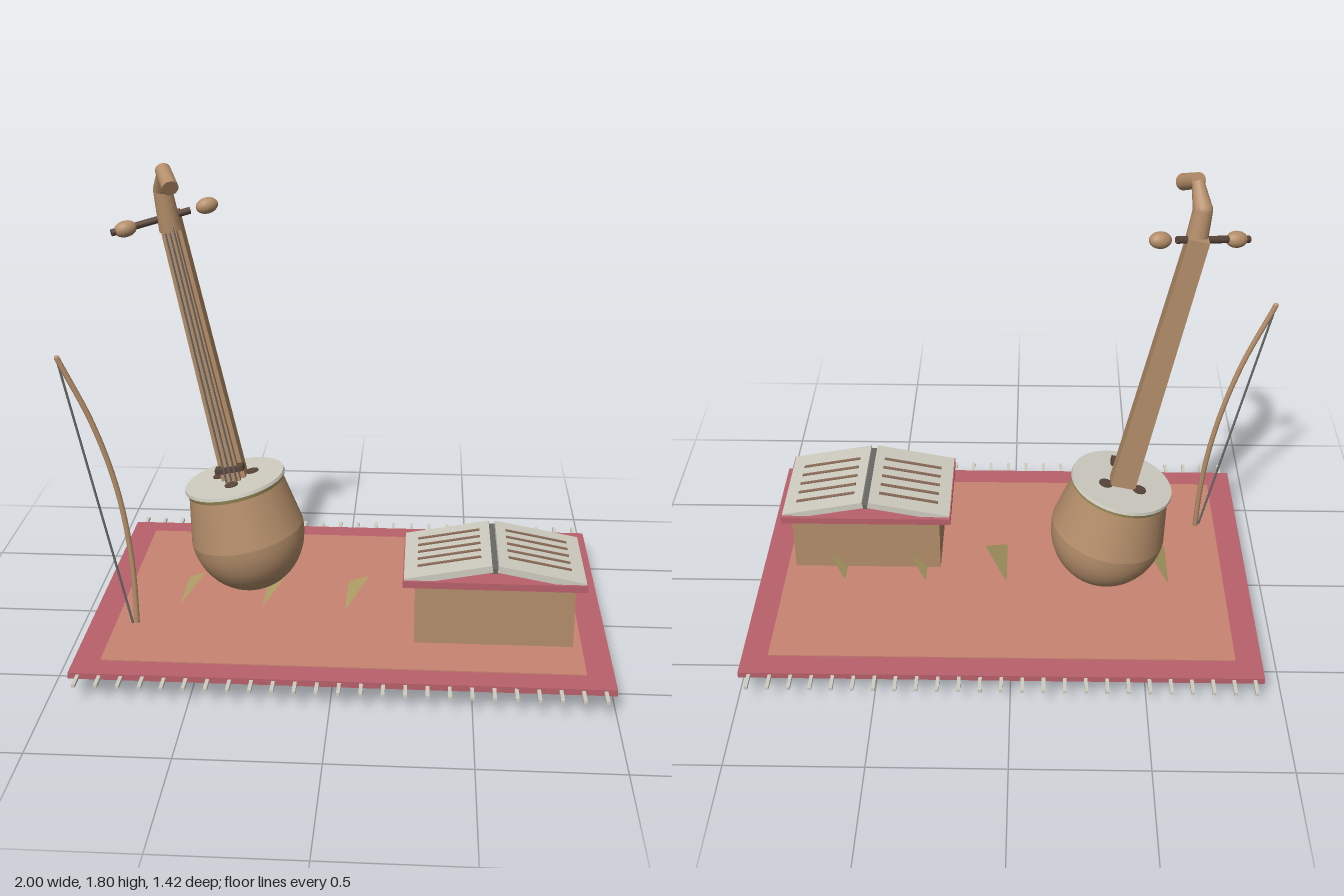
import * as THREE from 'three';

const mat = (name, color, side = THREE.FrontSide) => {
  const m = new THREE.MeshStandardMaterial({ color, side });
  m.name = name;
  return m;
};

export function createModel() {
  const wood = mat('wood', 0xb48e6a);
  const darkWood = mat('darkWood', 0x59453a);
  const red = mat('rugBorder', 0xb9606b);
  const field = mat('rugField', 0xc98472);
  const cream = mat('cream', 0xcfcdc1);
  const ochre = mat('ochre', 0xb9a86c, THREE.DoubleSide);
  const ink = mat('ink', 0x8a6b58);
  const grey = mat('string', 0x686866);

  const model = new THREE.Group();
  const V = (x, y, z) => new THREE.Vector3(x, y, z);
  const add = (parent, name, geo, material, x = 0, y = 0, z = 0) => {
    const m = new THREE.Mesh(geo, material);
    m.name = name;
    m.position.set(x, y, z);
    parent.add(m);
    return m;
  };
  const box = (parent, name, material, w, h, d, x, y, z) =>
    add(parent, name, new THREE.BoxGeometry(w, h, d), material, x, y, z);
  // Round bar from a to b, tapering from ra to rb
  const rod = (parent, name, material, a, b, ra, rb = ra, sides = 16) => {
    const d = b.clone().sub(a);
    const m = add(parent, name, new THREE.CylinderGeometry(rb, ra, d.length(), sides), material);
    m.position.copy(a).addScaledVector(d, 0.5);
    m.quaternion.setFromUnitVectors(V(0, 1, 0), d.normalize());
    return m;
  };

  // Rug with inner field and fringes
  const rug = new THREE.Group();
  rug.name = 'rug';
  model.add(rug);
  box(rug, 'rugBorder', red, 1.93, 0.023, 1.285, 0.035, 0.078, 0);
  box(rug, 'rugField', field, 1.735, 0.031, 1.1, 0.035, 0.078, 0);
  for (const s of [-1, 1])
    for (let i = 0; i < 25; i++)
      box(rug, 'fringe', cream, 0.013, 0.012, 0.075, -0.895 + i * 0.0773, 0.078, s * 0.672);

  // Slanted diamond motifs passing through the rug
  for (let i = 0; i < 5; i++) {
    const holder = new THREE.Group();
    holder.name = 'diamondMotif';
    holder.position.set(-0.61 + i * 0.32, 0.1, 0);
    holder.rotation.z = Math.PI / 4;
    const d = add(holder, 'diamond', new THREE.CircleGeometry(0.113, 4), ochre);
    d.rotation.x = -Math.PI / 2;
    model.add(holder);
  }

  // Low table
  box(model, 'tableBase', wood, 0.58, 0.235, 0.385, 0.58, 0.208, 0.163);
  box(model, 'tableTop', red, 0.665, 0.026, 0.42, 0.578, 0.335, 0.16);

  // Open book: two sloping pages with ruled lines
  const book = new THREE.Group();
  book.name = 'book';
  book.position.set(0.578, 0, 0.163);
  model.add(book);
  box(book, 'bookSpine', grey, 0.02, 0.02, 0.39, 0, 0.392, 0);
  for (const s of [-1, 1]) {
    const page = new THREE.Group();
    page.name = s < 0 ? 'rightPage' : 'leftPage';
    page.position.set(s * 0.168, 0.371, 0);
    page.rotation.z = -s * 0.19;
    book.add(page);
    box(page, 'pageBlock', cream, 0.322, 0.026, 0.395, 0, 0, 0);
    for (let i = 0; i < 5; i++)
      box(page, 'textLine', ink, 0.235, 0.006, 0.013, -s * 0.006, 0.014, -0.124 + i * 0.0585);
  }

  // Leaning fiddle; its origin is the centre of the drum skin
  const fiddle = new THREE.Group();
  fiddle.name = 'fiddle';
  fiddle.position.set(-0.415, 0.545, -0.065);
  fiddle.rotation.z = 0.207;
  model.add(fiddle);

  // Rounded lower bowl and tapering upper bowl
  const bowl = [];
  for (let i = 0; i <= 14; i++) {
    const a = (i / 14) * Math.PI / 2;
    bowl.push(new THREE.Vector2(0.222 * Math.sin(a), -0.215 - 0.24 * Math.cos(a)));
  }
  add(fiddle, 'lowerBowl', new THREE.LatheGeometry(bowl, 40), wood);
  add(fiddle, 'upperBowl', new THREE.CylinderGeometry(0.183, 0.222, 0.21, 40, 1, true), wood, 0, -0.11, 0);
  add(fiddle, 'skinRim', new THREE.CylinderGeometry(0.197, 0.19, 0.016, 40), ochre, 0, -0.01, 0);
  add(fiddle, 'drumSkin', new THREE.CylinderGeometry(0.194, 0.197, 0.012, 40), cream, 0, 0.004, 0);
  for (let i = 0; i < 3; i++) {
    const a = -0.5 + i * Math.PI * 2 / 3;
    add(fiddle, 'soundHole', new THREE.CylinderGeometry(0.026, 0.026, 0.006, 20), darkWood,
      0.075 * Math.cos(a), 0.011, 0.075 * Math.sin(a));
  }

  // Neck, narrowing upwards, with raised fingerboard
  const neckGeo = (w, d) => {
    const g = new THREE.BoxGeometry(w, 1.07, d);
    const p = g.attributes.position;
    for (let i = 0; i < p.count; i++) if (p.getY(i) > 0) p.setX(i, p.getX(i) * 0.78);
    g.computeVertexNormals();
    return g;
  };
  add(fiddle, 'neck', neckGeo(0.095, 0.066), wood, 0, 0.535, -0.012);
  add(fiddle, 'fingerboard', neckGeo(0.06, 0.026), wood, 0, 0.535, 0.033);
  box(fiddle, 'bridge', darkWood, 0.11, 0.02, 0.042, 0, 0.065, 0.044);
  for (const x of [-0.02, 0, 0.02])
    rod(fiddle, 'string', grey, V(x, 0.02, 0.066), V(x * 0.8, 1.03, 0.044), 0.0035, 0.0035, 6);

  // Curved head with a slanted cap
  const head = new THREE.Group();
  head.name = 'head';
  model.add(head);
  rod(head, 'headBase', wood, V(-0.625, 1.53, -0.055), V(-0.646, 1.68, -0.043), 0.042, 0.035);
  rod(head, 'headNeck', wood, V(-0.646, 1.68, -0.043), V(-0.63, 1.755, 0.02), 0.035, 0.022);
  add(head, 'headJoint', new THREE.SphereGeometry(0.035, 16, 12), wood, -0.646, 1.68, -0.043);
  rod(head, 'headCap', wood, V(-0.632, 1.763, 0.015), V(-0.59, 1.715, 0.11), 0.028, 0.03);

  // Tuning pegs on a shared shaft
  const a = V(-0.825, 1.535, 0.03), b = V(-0.46, 1.615, -0.145);
  const along = (t) => a.clone().lerp(b, t);
  rod(head, 'pegShaft', darkWood, a, along(0.73), 0.013);
  for (const t of [0.13, 0.89]) {
    const knob = add(head, 'pegKnob', new THREE.SphereGeometry(0.03, 20, 14), wood);
    knob.position.copy(along(t));
    knob.scale.set(1, 1.4, 1);
    knob.quaternion.setFromUnitVectors(V(0, 1, 0), b.clone().sub(a).normalize());
  }

  // Bow: bent stick and straight hair
  const stick = new THREE.CatmullRomCurve3([
    V(-0.752, 0.002, 0.27), V(-0.766, 0.35, 0.25), V(-0.806, 0.62, 0.243),
    V(-0.88, 0.88, 0.253), V(-0.99, 1.137, 0.271)]);
  add(model, 'bowStick', new THREE.TubeGeometry(stick, 32, 0.0105, 10), wood);
  for (const t of [0, 1])
    add(model, 'bowTip', new THREE.SphereGeometry(0.0105, 10, 8), wood).position.copy(stick.getPoint(t));
  rod(model, 'bowHair', grey, V(-0.762, 0.06, 0.272), V(-0.99, 1.13, 0.272), 0.0045, 0.0045, 8);

  return model;
}
